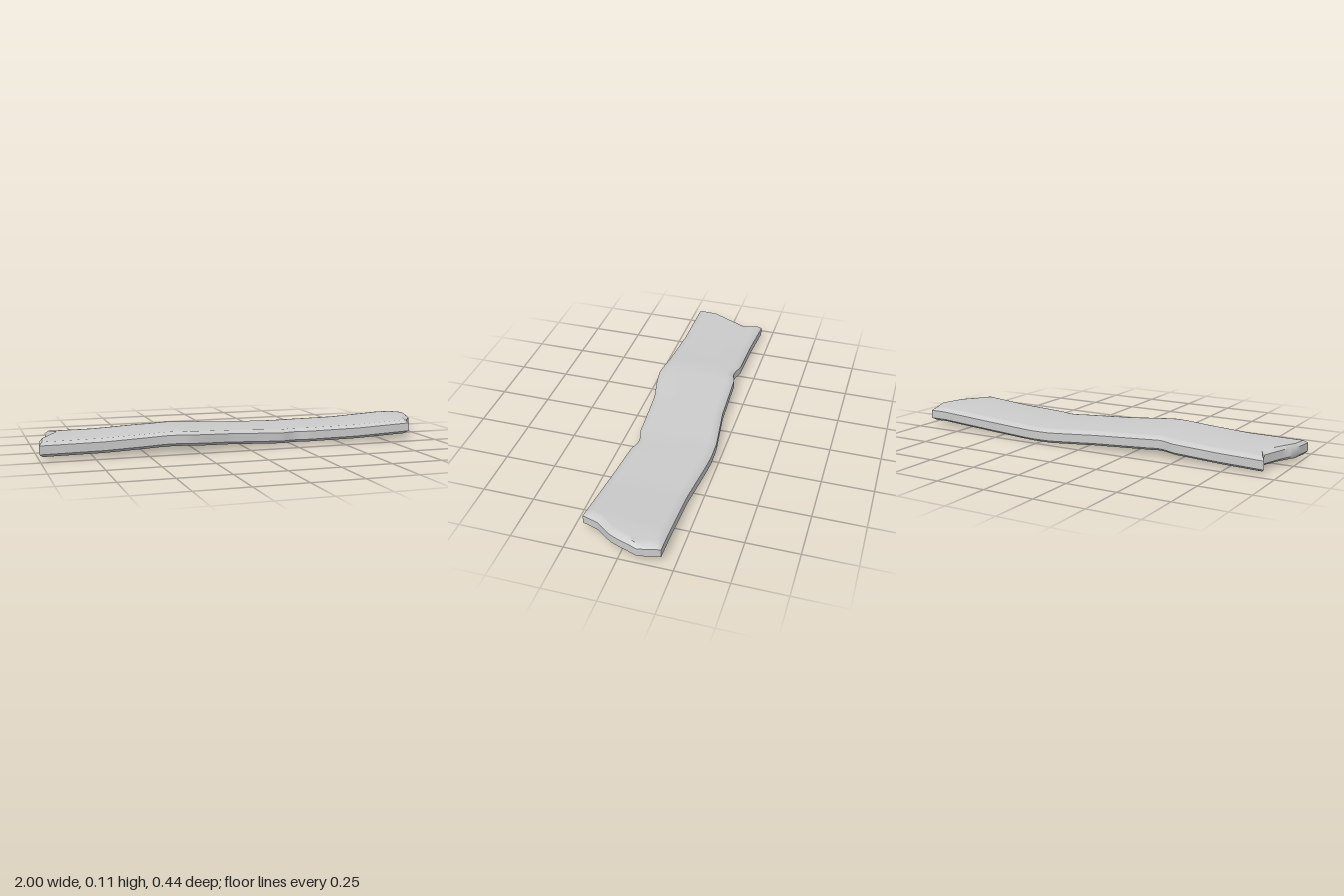
import * as THREE from 'three';
import { toCreasedNormals } from 'three/addons/utils/BufferGeometryUtils.js';

// Piecewise-linear curve through [position, value] pairs
function curve(points) {
  return (t) => {
    if (t <= points[0][0]) return points[0][1];
    for (let i = 1; i < points.length; i++) {
      const [a, va] = points[i - 1], [b, vb] = points[i];
      if (t <= b) return va + (vb - va) * (t - a) / (b - a);
    }
    return points[points.length - 1][1];
  };
}

// Long edges: z along x, with a worn nick in each
const frontEdge = curve([[-1, 0.195], [-0.7, 0.195], [-0.42, 0.207], [-0.3, 0.222], [-0.22, 0.212],
  [-0.08, 0.182], [0.2, 0.165], [0.25, 0.148], [0.29, 0.148], [0.34, 0.163], [0.87, 0.203]]);
const backEdge = curve([[-0.92, -0.193], [-0.7, -0.18], [-0.47, -0.178], [-0.42, -0.162], [-0.38, -0.162],
  [-0.34, -0.178], [-0.05, -0.19], [0.18, -0.22], [0.28, -0.222], [0.36, -0.217], [0.6, -0.194], [0.97, -0.188]]);

// Broken ends: x across the width, from back (-1) to front (1)
const leftEnd = curve([[-1, -0.93], [-0.6, -0.9], [0, -0.945], [0.5, -0.99], [1, -1]]);
const rightEnd = curve([[-1, 0.97], [-0.5, 1], [0, 0.97], [0.2, 0.955], [0.6, 0.9], [1, 0.875]]);

// Height of the warped centre along the length
const warp = curve([[-1, 0.044], [-0.7, 0.047], [-0.5, 0.057], [-0.4, 0.063], [-0.33, 0.064], [-0.25, 0.06],
  [0, 0.048], [0.2, 0.039], [0.3, 0.039], [0.6, 0.046], [0.88, 0.062], [1, 0.061]]);

// Layers from underside to top: half-thickness offset and chamfer inset
const layers = [{ y: -0.035, inset: 0.02 }, { y: -0.021, inset: 0 }, { y: 0.02, inset: 0 }, { y: 0.035, inset: 0.02 }];

function plankGeometry() {
  const geometry = new THREE.BoxGeometry(2, 3, 2, 80, 3, 20);
  const p = geometry.attributes.position;
  for (let i = 0; i < p.count; i++) {
    const u = (p.getX(i) + 1) / 2, v = p.getZ(i);
    const { y, inset } = layers[Math.round(p.getY(i) + 1.5)];
    const x = THREE.MathUtils.lerp(leftEnd(v) + inset * 0.8, rightEnd(v) - inset, u);
    const z = THREE.MathUtils.lerp(backEdge(x) + inset, frontEdge(x) - inset, (v + 1) / 2);
    // slight tilt toward the back and a low crown across the width
    p.setXYZ(i, x, warp(x) + y + 0.02 * z + 0.005 * (1 - v * v), z);
  }
  return toCreasedNormals(geometry, 0.72);
}

export function createModel() {
  const group = new THREE.Group();
  group.name = 'woodenPlank';
  const plank = new THREE.Mesh(plankGeometry(), new THREE.MeshStandardMaterial({ color: 0xcccccc }));
  plank.name = 'plank';
  group.add(plank);
  return group;
}
